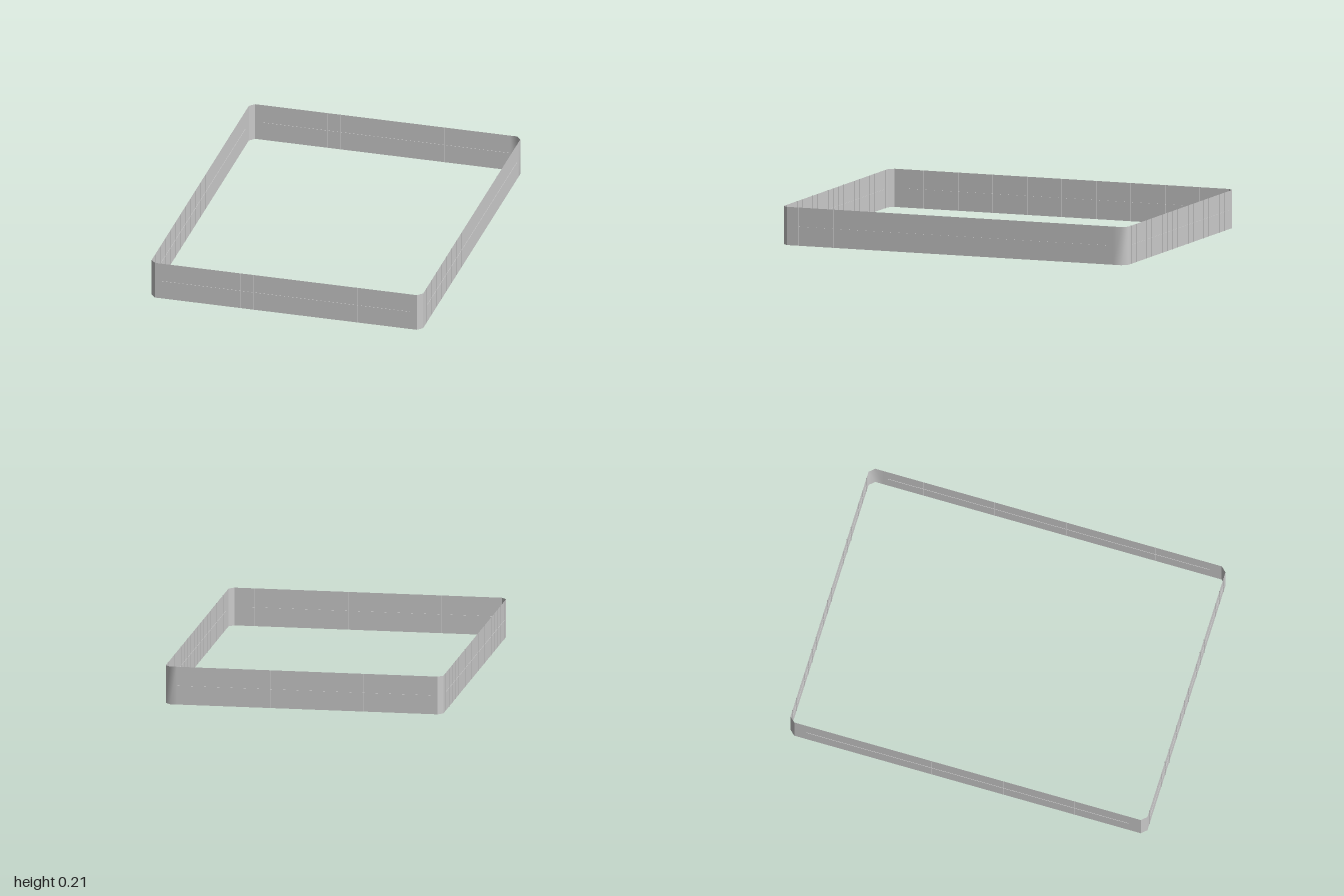
import * as THREE from 'three';

const HEIGHT = 0.207;
const X = 0.755, Z = 0.998;     // wall planes
const CX = 0.728, CZ = 0.969;   // where the corner chamfers begin
const RIB = 0.002;              // rib reach on each side of the wall

const material = new THREE.MeshStandardMaterial({ color: 0xcccccc, side: THREE.DoubleSide });

// Upright sheet following [x, z] points, counter-clockwise seen from above
function ribbon(name, points) {
  const positions = [], index = [];
  points.forEach(([x, z], i) => {
    positions.push(x, 0, z, x, HEIGHT, z);
    if (i > 0) {
      const a = 2 * (i - 1);
      index.push(a, a + 2, a + 3, a, a + 3, a + 1);
    }
  });
  const geometry = new THREE.BufferGeometry();
  geometry.setAttribute('position', new THREE.Float32BufferAttribute(positions, 3));
  geometry.setIndex(index);
  geometry.computeVertexNormals();
  const mesh = new THREE.Mesh(geometry, material);
  mesh.name = name;
  return mesh;
}

// Paper-thin upright ribs and one level rib through the wall, built along x
function ribs(name, halfLength, count) {
  const group = new THREE.Group();
  group.name = name;
  const upright = new THREE.PlaneGeometry(2 * RIB, HEIGHT).rotateY(Math.PI / 2);
  for (let i = 0; i < count; i++) {
    const rib = new THREE.Mesh(upright, material);
    rib.name = 'uprightRib';
    rib.position.set(-halfLength + (2 * halfLength * i) / (count - 1), HEIGHT / 2, 0);
    group.add(rib);
  }
  const level = new THREE.Mesh(
    new THREE.PlaneGeometry(2 * halfLength, 2 * RIB).rotateX(-Math.PI / 2), material);
  level.name = 'levelRib';
  level.position.y = HEIGHT / 2;
  group.add(level);
  return group;
}

export function createModel() {
  const model = new THREE.Group();
  model.name = 'rectangularWallFrame';

  // Straight walls, shortened where the smooth rear corner takes over
  model.add(
    ribbon('frontWall', [[-CX, Z], [CX, Z]]),
    ribbon('leftWall', [[X, CZ], [X, -0.92]]),
    ribbon('backWall', [[0.69, -Z], [-CX, -Z]]),
    ribbon('rightWall', [[-X, -CZ], [-X, CZ]]),
  );

  // Chamfered corners; one blends smoothly into its walls
  model.add(
    ribbon('frontLeftCorner', [[CX, Z], [X, CZ]]),
    ribbon('backLeftCorner', [[X, -0.92], [X, -CZ], [CX, -Z], [0.69, -Z]]),
    ribbon('backRightCorner', [[-CX, -Z], [-X, -CZ]]),
    ribbon('frontRightCorner', [[-X, CZ], [-CX, Z]]),
  );

  // Ribs on all four walls
  for (const s of [1, -1]) {
    const across = ribs(s > 0 ? 'frontRibs' : 'backRibs', 0.69, 20);
    across.position.z = s * Z;
    const along = ribs(s > 0 ? 'leftRibs' : 'rightRibs', 0.9, 19);
    along.rotation.y = Math.PI / 2;
    along.position.x = s * X;
    model.add(across, along);
  }
  return model;
}
